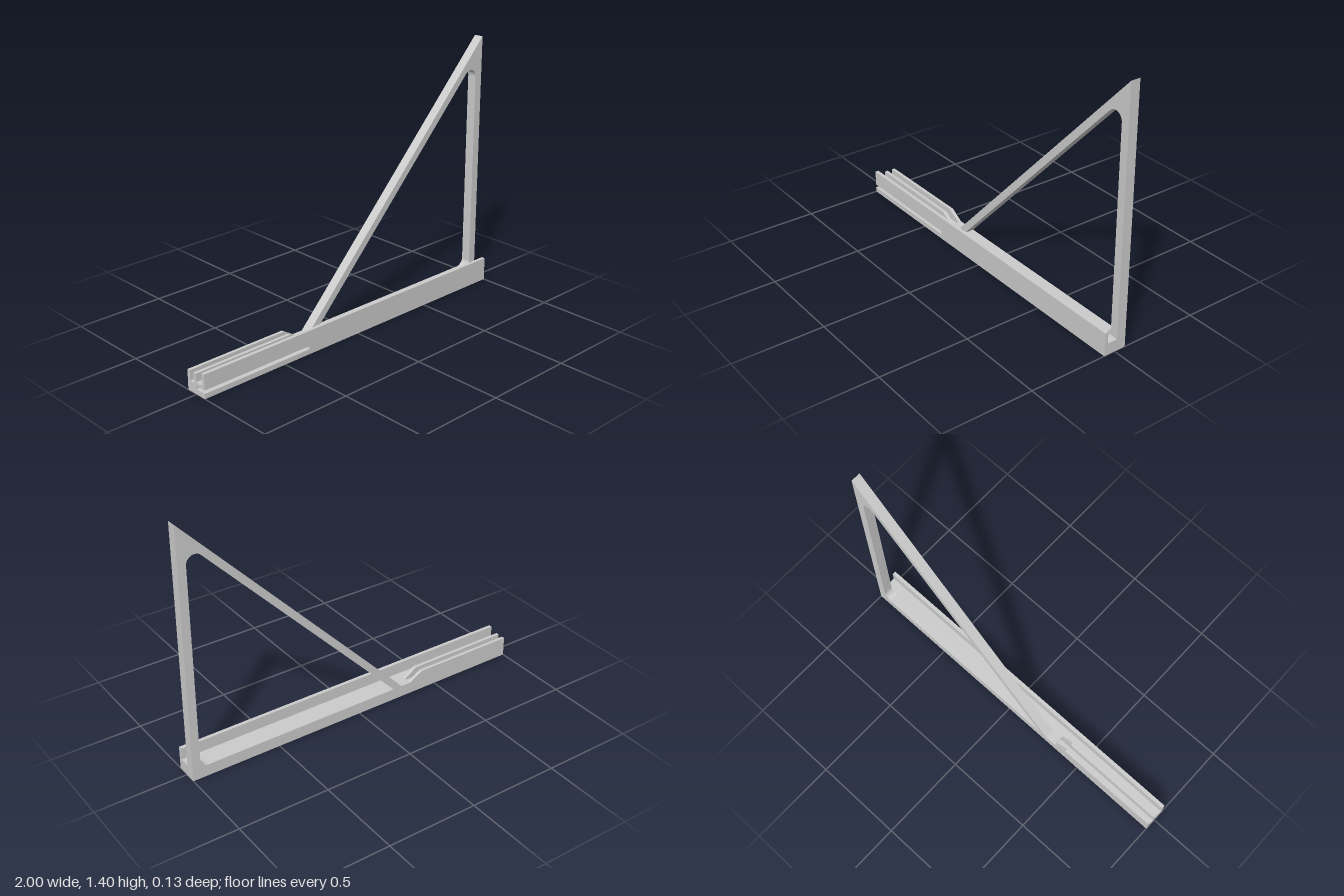
import * as THREE from 'three';

const material = new THREE.MeshStandardMaterial({ color: 0xcccccc });

function extrude(name, shape, depth) {
  const geometry = new THREE.ExtrudeGeometry(shape, { depth, bevelEnabled: false, curveSegments: 12 });
  const mesh = new THREE.Mesh(geometry, material);
  mesh.name = name;
  return mesh;
}

const polygon = (points) => new THREE.Shape(points.map(([x, y]) => new THREE.Vector2(x, y)));

// Cross-section given as [z, y], swept along x
function sweepX(name, section, x0, x1) {
  const mesh = extrude(name, polygon(section.map(([z, y]) => [-z, y])), x1 - x0);
  mesh.rotation.y = Math.PI / 2;
  mesh.position.x = x0;
  return mesh;
}

// Outline in x, y, given thickness between two z values
function plateZ(name, shape, z0, z1) {
  const mesh = extrude(name, shape, z1 - z0);
  mesh.position.z = z0;
  return mesh;
}

export function createModel() {
  const group = new THREE.Group();
  group.name = 'triangularBracket';

  const back = -0.065, front = 0.065, floor = 0.065, lip = 0.13, lipBack = 0.045;
  const slotEnd = -0.335;

  // Solid rail with a raised front lip
  group.add(sweepX('rail', [
    [back, 0], [front, 0], [front, lip], [lipBack, lip], [lipBack, floor], [back, floor],
  ], slotEnd, 1));

  // Slotted end of the rail: groove in the front face, groove in the top
  group.add(sweepX('slottedRail', [
    [back, 0], [front, 0], [front, 0.028], [0, 0.028], [0, 0.046], [front, 0.046],
    [front, lip], [lipBack, lip], [lipBack, floor],
    [-0.018, floor], [-0.018, 0.055], [-0.047, 0.055], [-0.047, floor], [back, floor],
  ], -1, slotEnd));

  // Two ribs beside the top groove, with sloping ends
  const rib = polygon([[-1, floor], [slotEnd, floor], [-0.41, 0.11], [-1, 0.11]]);
  group.add(plateZ('backRib', rib, back, -0.047));
  group.add(plateZ('innerRib', rib, -0.018, 0));

  // Upright and diagonal brace around a rounded opening
  const frame = new THREE.Shape();
  frame.moveTo(-0.275, floor);
  frame.lineTo(-0.222, floor);
  frame.lineTo(0.8775, 1.216);
  frame.absarc(0.91, 1.185, 0.045, 2.38, 0, true);
  frame.lineTo(0.955, 0.11);
  frame.absarc(0.91, 0.11, 0.045, 0, -Math.PI / 2, true);
  frame.lineTo(1, floor);
  frame.lineTo(1, 1.4);
  frame.closePath();
  group.add(plateZ('triangleFrame', frame, back, -0.012));

  return group;
}
